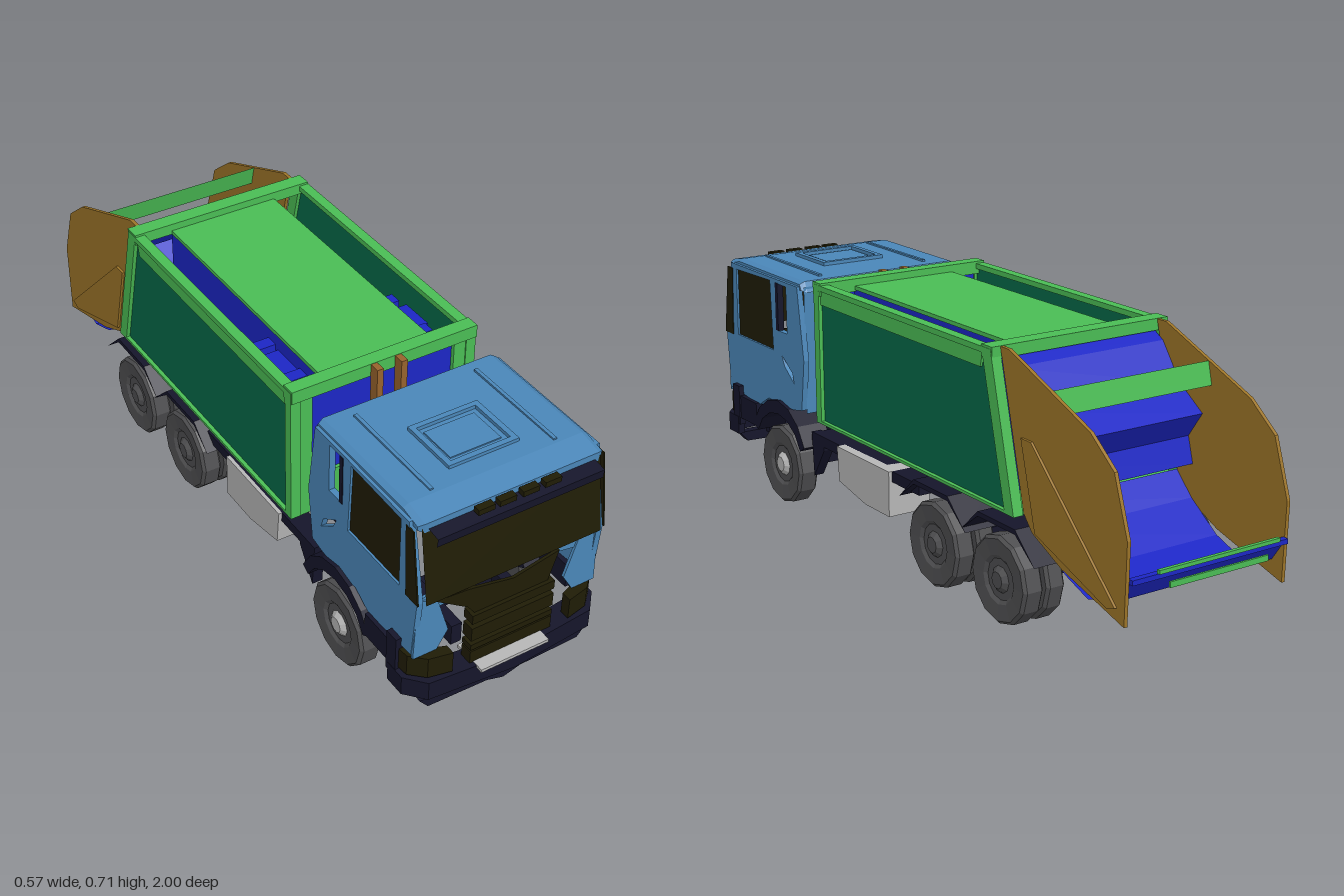
import * as THREE from 'three';

const mat = (name, color) => {
  const m = new THREE.MeshStandardMaterial({ color, flatShading: true, side: THREE.DoubleSide });
  m.name = name;
  return m;
};

export function createModel() {
  const root = new THREE.Group();
  root.name = 'refuseTruck';
  const cabBlue = mat('cabBlue', 0x4a86b8), green = mat('frameGreen', 0x4abc54);
  const teal = mat('panelTeal', 0x036848), amber = mat('tailAmber', 0x9c7428);
  const royal = mat('hopperBlue', 0x1c26c4), navy = mat('chassisNavy', 0x15152a);
  const glass = mat('darkGlass', 0x1f1c05), tyre = mat('tyreGrey', 0x4e4e50);
  const light = mat('lightGrey', 0xb6b6b6), rust = mat('stackBrown', 0x96622c);

  const add = (name, geo, m, parent = root) => {
    const mesh = new THREE.Mesh(geo, m);
    mesh.name = name;
    parent.add(mesh);
    return mesh;
  };
  // Box given by its min and max on each axis
  const box = (name, m, x0, x1, y0, y1, z0, z1) => add(name,
    new THREE.BoxGeometry(x1 - x0, y1 - y0, z1 - z0).translate((x0 + x1) / 2, (y0 + y1) / 2, (z0 + z1) / 2), m);
  const both = (f) => [1, -1].forEach(f);
  const boxPair = (name, m, x0, x1, ...r) => both(s => box(name, m, s > 0 ? x0 : -x1, s > 0 ? x1 : -x0, ...r));
  const outline = (pts) => new THREE.Shape(pts.map(p => new THREE.Vector2(...p)));
  // Side profile in (z, y), extruded from x0 to x1
  const profile = (name, m, pts, x0, x1, holes = []) => {
    const s = outline(pts);
    holes.forEach(h => s.holes.push(outline(h)));
    const g = new THREE.ExtrudeGeometry(s, { depth: x1 - x0, bevelEnabled: false });
    return add(name, g.rotateY(-Math.PI / 2).translate(x1, 0, 0), m);
  };
  const profilePair = (name, m, pts, x0, x1, holes) =>
    both(s => profile(name, m, pts, s > 0 ? x0 : -x1, s > 0 ? x1 : -x0, holes));
  // Open sheet swept across x along a (z, y) path
  const sheet = (name, m, path, halfWidth) => {
    const g = new THREE.PlaneGeometry(1, 1, 1, path.length - 1);
    const p = g.attributes.position;
    path.forEach(([z, y], i) => {
      p.setXYZ(2 * i, -halfWidth, y, z);
      p.setXYZ(2 * i + 1, halfWidth, y, z);
    });
    g.computeVertexNormals();
    return add(name, g, m);
  };
  // Front plate in (x, y) at depth z
  const plate = (name, m, pts, z, t = 0.008) =>
    add(name, new THREE.ExtrudeGeometry(outline(pts), { depth: t, bevelEnabled: false }).translate(0, 0, z), m);
  // Plan outline in (x, z), raised from y0 to y1
  const plan = (name, m, pts, y0, y1) => add(name,
    new THREE.ExtrudeGeometry(outline(pts), { depth: y1 - y0, bevelEnabled: false }).rotateX(Math.PI / 2).translate(0, y1, 0), m);

  // Cab sides with door window and open gaps behind the door
  const door = [[0.65, 0.455], [0.87, 0.455], [0.868, 0.655], [0.66, 0.66]];
  const quarter = [[0.565, 0.52], [0.618, 0.52], [0.618, 0.658], [0.565, 0.658]];
  const gap = [[0.60, 0.45], [0.585, 0.42], [0.53, 0.38], [0.54, 0.41]];
  profilePair('cabSide', cabBlue, [[0.49, 0.31], [0.54, 0.30], [0.69, 0.30], [0.75, 0.265], [0.93, 0.28],
    [0.945, 0.45], [0.90, 0.67], [0.50, 0.67], [0.47, 0.46]], 0.252, 0.269, [door, quarter, gap]);
  profilePair('doorWindow', glass, door, 0.257, 0.263);
  boxPair('quarterTrim', navy, 0.252, 0.271, 0.52, 0.66, 0.612, 0.626);
  profilePair('windscreenWrap', glass, [[0.90, 0.45], [0.95, 0.45], [0.92, 0.655], [0.89, 0.655]], 0.267, 0.271);
  boxPair('doorStep', navy, 0.24, 0.28, 0.20, 0.27, 0.75, 0.87);

  // Chamfered roof with hatch
  const roof = new THREE.ExtrudeGeometry(
    outline([[0.49, 0.66], [0.50, 0.676], [0.86, 0.678], [0.92, 0.666], [0.92, 0.655], [0.88, 0.66]]),
    { depth: 0.49, bevelSize: 0.008, bevelThickness: 0.015, bevelSegments: 1 });
  add('cabRoof', roof.rotateY(-Math.PI / 2).translate(0.245, 0, 0), cabBlue);
  box('roofHatch', cabBlue, -0.075, 0.07, 0.682, 0.689, 0.67, 0.78);
  boxPair('roofHatchRail', cabBlue, 0.085, 0.10, 0.682, 0.695, 0.64, 0.81);
  [0.64, 0.795].forEach(z => box('roofHatchFrame', cabBlue, -0.10, 0.10, 0.682, 0.695, z, z + 0.015));
  boxPair('roofRib', cabBlue, 0.17, 0.18, 0.682, 0.69, 0.53, 0.85);

  // Cab rear wall, only facing backwards
  const rear = cabBlue.clone();
  rear.side = THREE.FrontSide;
  add('cabRearWall', new THREE.PlaneGeometry(0.51, 0.37).rotateY(Math.PI).translate(0, 0.485, 0.485), rear);

  // Windscreen, sun visor and marker lamps
  sheet('windscreen', glass, [[0.925, 0.66], [0.958, 0.45]], 0.252);
  sheet('sunVisor', navy, [[0.925, 0.655], [0.965, 0.65], [0.962, 0.625]], 0.235);
  [-0.095, -0.035, 0.03, 0.093].forEach(x => box('markerLamp', glass, x - 0.023, x + 0.023, 0.66, 0.675, 0.935, 0.955));

  // Open lower front: corner panels, wiper cowl, lamps and grille slats
  both(s => {
    const m = pts => pts.map(([x, y]) => [s * x, y]);
    plate('cornerPanel', cabBlue, m([[0.268, 0.27], [0.20, 0.27], [0.17, 0.32], [0.205, 0.43], [0.262, 0.452]]), 0.93);
    plate('cowlCorner', cabBlue, m([[0.12, 0.452], [0.26, 0.452], [0.21, 0.40], [0.15, 0.41]]), 0.925);
    plan('headlamp', glass, m([[0.172, 0.968], [0.235, 0.955], [0.272, 0.92], [0.276, 0.88], [0.262, 0.88],
      [0.25, 0.91], [0.172, 0.94]]), 0.207, 0.268);
    plate('fogLamp', glass, m([[0.07, 0.13], [0.12, 0.13], [0.12, 0.152], [0.07, 0.152]]), 0.955);
  });
  plate('cowl', glass, [[-0.225, 0.45], [-0.13, 0.385], [-0.11, 0.358], [0.105, 0.358], [0.132, 0.442], [0, 0.415], [-0.13, 0.442]], 0.948);
  [[0.33, 0.357], [0.275, 0.315], [0.245, 0.262], [0.20, 0.24]].forEach(([a, b]) =>
    box('grilleSlat', glass, -0.12, 0.12, a, b, 0.93, 0.965));
  box('grilleBacking', light, -0.11, 0.09, 0.196, 0.205, 0.90, 1.0);

  // Bumper, wrapped corners and lower lip
  plan('bumper', navy, [[-0.285, 0.86], [-0.285, 0.92], [-0.24, 0.97], [0, 0.99], [0.24, 0.97], [0.285, 0.92],
    [0.285, 0.86], [0.265, 0.86], [0.25, 0.90], [0, 0.93], [-0.25, 0.90], [-0.265, 0.86]], 0.148, 0.203);
  boxPair('bumperCorner', navy, 0.265, 0.284, 0.18, 0.30, 0.85, 0.89);
  plate('lowerLip', navy, [[-0.25, 0.13], [-0.225, 0.10], [-0.05, 0.095], [0, 0.08], [0.05, 0.095], [0.225, 0.10], [0.25, 0.13]], 0.92, 0.03);
  boxPair('lipBracket', navy, 0.14, 0.16, 0.12, 0.16, 0.90, 0.93);

  // Front wheel arches
  const arch = [];
  for (let i = 0; i <= 8; i++) arch.push([0.615 + 0.165 * Math.cos(i * Math.PI / 8), 0.14 + 0.172 * Math.sin(i * Math.PI / 8)]);
  for (let i = 8; i >= 0; i--) arch.push([0.615 + 0.138 * Math.cos(i * Math.PI / 8), 0.14 + 0.132 * Math.sin(i * Math.PI / 8)]);
  profilePair('wheelArch', navy, arch.filter(p => p[1] > 0.18), 0.19, 0.28);

  // Wheels: low-sided tyres with shallow hubs
  const wheel = (s, z, x0, x1, r, hubMat) => {
    const w = x1 - x0;
    const g = new THREE.Group();
    g.name = 'wheel';
    g.position.set(s * x0, r, z);
    g.rotation.z = -s * Math.PI / 2;
    const pts = [[0, 0.01], [0.06, 0], [r * 0.95, 0], [r, 0.006], [r, w - 0.008], [r * 0.93, w], [0.065, w - 0.003], [0.055, w - 0.01], [0, w - 0.01]];
    add('tyre', new THREE.LatheGeometry(pts.map(p => new THREE.Vector2(...p)), 12), tyre, g);
    add('hub', new THREE.CylinderGeometry(0.022, 0.045, 0.02, 10).translate(0, w - 0.008, 0), hubMat, g);
    root.add(g);
  };
  both(s => {
    wheel(s, 0.615, 0.215, 0.275, 0.117, light);
    [-0.195, -0.49].forEach(z => {
      wheel(s, z, 0.15, 0.203, 0.117, tyre);
      wheel(s, z, 0.215, 0.272, 0.117, tyre);
    });
  });
  [0.615, -0.195, -0.49].forEach(z => box('axle', navy, -0.22, 0.22, 0.10, 0.135, z - 0.02, z + 0.02));

  // Chassis rails, cross members, mudguards and tanks
  profilePair('chassisRail', navy, [[0.88, 0.19], [0.88, 0.25], [-0.62, 0.25], [-0.68, 0.21], [-0.68, 0.19]], 0.085, 0.115);
  [0.75, 0.42, 0.0, -0.34, -0.60].forEach(z => box('crossMember', navy, -0.09, 0.09, 0.20, 0.24, z - 0.02, z + 0.02));
  boxPair('sideRail', navy, 0.19, 0.25, 0.22, 0.25, -0.10, 0.46);
  [-0.195, -0.49].forEach(z => profilePair('mudguard', navy,
    [[z + 0.15, 0.21], [z + 0.08, 0.275], [z - 0.08, 0.275], [z - 0.16, 0.20], [z - 0.08, 0.262], [z + 0.08, 0.262]], 0.15, 0.277));
  profilePair('mudFlap', navy, [[0.47, 0.25], [0.40, 0.25], [0.40, 0.21], [0.46, 0.12]], 0.22, 0.25);
  profilePair('sideTank', light, [[0.31, 0.25], [0.035, 0.25], [0.035, 0.122], [0.16, 0.122], [0.30, 0.15]], 0.13, 0.26);

  // Body floor
  box('bodyFloor', green, -0.255, 0.255, 0.30, 0.312, -0.55, 0.38);

  // Side walls: framed panel with raked rear post
  profilePair('sideFrame', green, [[0.395, 0.302], [0.395, 0.70], [-0.46, 0.70], [-0.56, 0.302]], 0.245, 0.274,
    [[[0.368, 0.31], [0.368, 0.685], [-0.425, 0.685], [-0.52, 0.31]]]);
  profilePair('sidePanel', teal, [[0.37, 0.31], [0.37, 0.69], [-0.425, 0.69], [-0.52, 0.31]], 0.255, 0.263);
  profilePair('upperBand', green, [[0.365, 0.645], [0.365, 0.685], [-0.42, 0.685], [-0.41, 0.645]], 0.263, 0.269);

  // Front wall, top beams and central compactor housing
  box('frontWall', royal, -0.245, 0.245, 0.30, 0.68, 0.372, 0.38);
  box('frontLowerPanel', green, -0.25, 0.25, 0.305, 0.41, 0.38, 0.39);
  boxPair('frontPost', green, 0.21, 0.25, 0.30, 0.69, 0.38, 0.392);
  box('frontTopBeam', green, -0.273, 0.273, 0.67, 0.706, 0.36, 0.40);
  box('rearTopBeam', green, -0.273, 0.273, 0.675, 0.706, -0.465, -0.42);
  box('topPanel', green, -0.162, 0.162, 0.675, 0.686, -0.43, 0.37);
  boxPair('housingSide', royal, 0.15, 0.158, 0.312, 0.675, -0.43, 0.37);
  boxPair('housingBracket', royal, 0.158, 0.235, 0.57, 0.63, 0.14, 0.24);
  [0.11, 0.265].forEach(z => boxPair('housingRib', royal, 0.158, 0.22, 0.55, 0.64, z - 0.018, z + 0.018));
  [-0.038, 0.033].forEach(x => box('exhaustStack', rust, x - 0.009, x + 0.009, 0.33, 0.705, 0.40, 0.43));

  // Tailgate side plates with raised ribs
  profilePair('tailSide', amber, [[-0.465, 0.705], [-0.50, 0.705], [-0.82, 0.58], [-0.91, 0.51], [-0.962, 0.36],
    [-0.957, 0.15], [-0.72, 0.215], [-0.60, 0.27], [-0.565, 0.31]], 0.238, 0.248);
  profilePair('tailRib', amber, [[-0.56, 0.50], [-0.60, 0.50], [-0.93, 0.19], [-0.90, 0.18], [-0.62, 0.275]], 0.248, 0.255);

  // Hopper: sloping ejector face above, curved trough below
  sheet('ejectorFace', royal, [[-0.455, 0.675], [-0.49, 0.655], [-0.56, 0.56], [-0.65, 0.50]], 0.238);
  sheet('packerBlade', royal, [[-0.65, 0.50], [-0.60, 0.43], [-0.62, 0.36]], 0.238);
  sheet('hopperTrough', royal, [[-0.56, 0.33], [-0.62, 0.27], [-0.72, 0.20], [-0.81, 0.168], [-0.92, 0.20], [-0.965, 0.265]], 0.238);
  box('hopperLip', royal, -0.238, 0.238, 0.255, 0.268, -0.972, -0.955);
  sheet('tailCrossPlate', green, [[-0.665, 0.64], [-0.68, 0.58]], 0.24);

  // Rear guard bars
  box('rearBarUpper', green, -0.20, 0.17, 0.272, 0.282, -0.985, -0.975);
  box('rearBarLower', green, -0.15, 0.15, 0.24, 0.255, -1.0, -0.994);
  return root;
}
